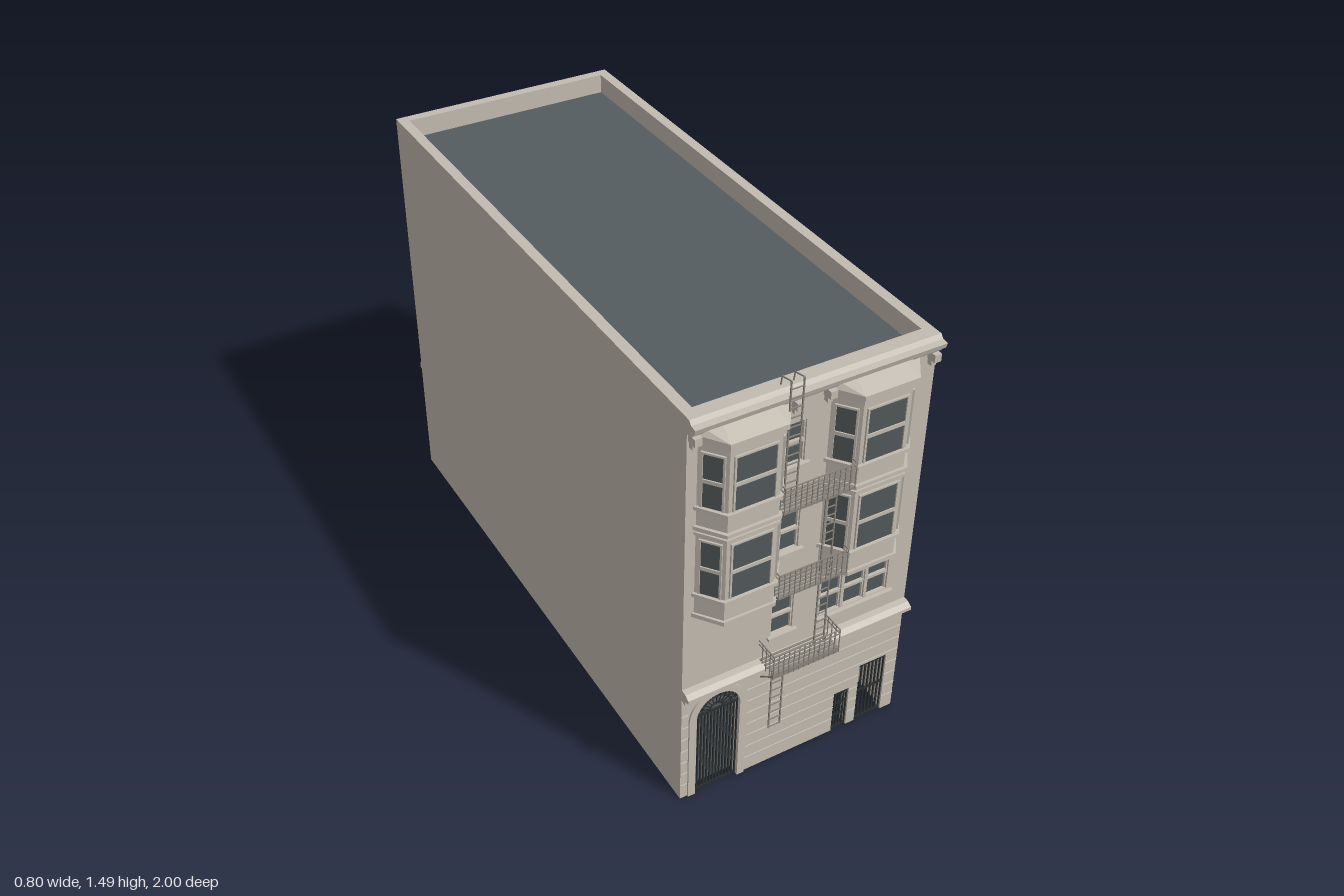
import * as THREE from 'three';

const X0 = -0.4, X1 = 0.39, ZF = 0.915, ZB = -0.99, H = 1.45, T = 0.034;
const mat = (name, color, extra = {}) => Object.assign(new THREE.MeshStandardMaterial({ color, ...extra }), { name });

export function createModel() {
  const stone = mat('stone', 0xc2bbb0), roofing = mat('roofing', 0x555c5f), glass = mat('glass', 0x515759);
  const iron = mat('iron', 0x2b2e2f), mortar = mat('mortar', 0xd6d1c8), steel = mat('painted steel', 0x8a857c);
  const model = new THREE.Group();
  model.name = 'building';

  const group = (name, parent = model) => {
    const g = new THREE.Group();
    g.name = name;
    parent.add(g);
    return g;
  };
  const add = (parent, name, geo, m) => {
    const mesh = new THREE.Mesh(geo, m);
    mesh.name = name;
    parent.add(mesh);
    return mesh;
  };
  // box given by its min and max on each axis
  const box = (parent, name, m, x0, x1, y0, y1, z0, z1) => {
    const b = add(parent, name, new THREE.BoxGeometry(x1 - x0, y1 - y0, z1 - z0), m);
    b.position.set((x0 + x1) / 2, (y0 + y1) / 2, (z0 + z1) / 2);
    return b;
  };
  // square bar between two points
  const bar = (parent, name, m, a, b, t = 0.003) => {
    const p = new THREE.Vector3(...a), q = new THREE.Vector3(...b);
    const mesh = add(parent, name, new THREE.BoxGeometry(t, t, p.distanceTo(q)), m);
    mesh.position.copy(p).lerp(q, 0.5);
    mesh.lookAt(q);
    return mesh;
  };
  // wall with door notches [x0, x1, top, arched] and window holes [x0, x1, y0, y1]
  const wallGeo = (a, b, doors, holes) => {
    const s = new THREE.Shape();
    s.moveTo(a, 0);
    for (const [d0, d1, top, arched] of doors) {
      s.lineTo(d0, 0);
      s.lineTo(d0, top);
      if (arched) s.absarc((d0 + d1) / 2, top, (d1 - d0) / 2, Math.PI, 0, true);
      s.lineTo(d1, top);
      s.lineTo(d1, 0);
    }
    s.lineTo(b, 0);
    s.lineTo(b, H);
    s.lineTo(a, H);
    for (const [x0, x1, y0, y1] of holes) {
      s.holes.push(new THREE.Path([[x0, y0], [x0, y1], [x1, y1], [x1, y0]].map(p => new THREE.Vector2(...p))));
    }
    return new THREE.ExtrudeGeometry(s, { depth: T, bevelEnabled: false, curveSegments: 20 });
  };

  // window openings
  const frontWins = [[-0.102, -0.028, 0.545, 0.682], [-0.102, -0.028, 0.86, 1.0], [-0.102, -0.028, 1.17, 1.31]];
  for (const x of [0.068, 0.153, 0.238]) frontWins.push([x, x + 0.074, 0.545, 0.682]);
  const backWins = [[0.14, 0.25, 0.21, 0.3], [-0.26, -0.15, 0.21, 0.3]];
  for (const y of [0.54, 0.855, 1.165]) for (const x of [-0.2, 0, 0.2]) backWins.push([x - 0.038, x + 0.038, y, y + 0.155]);

  // walls
  const walls = group('walls');
  const frontDoors = [[-0.35, -0.2, 0.325, true], [0.155, 0.212, 0.165], [0.245, 0.347, 0.245]];
  add(walls, 'frontWall', wallGeo(X0, X1, frontDoors, frontWins), stone).position.z = ZF - T;
  add(walls, 'backWall', wallGeo(X0, X1, [[-0.055, 0.045, 0.225]], backWins), stone).position.z = ZB;
  const side = wallGeo(ZB + T, ZF - T, [[-0.93, -0.83, 0.225]], []).rotateY(-Math.PI / 2);
  add(walls, 'leftWall', side, stone).position.x = X1;
  box(walls, 'rightWall', stone, X0, X0 + T, 0, H, ZB + T, ZF - T);
  box(model, 'roof', roofing, X0 + T, X1 - T, 1.37, 1.385, ZB + T, ZF - T);

  // sash windows; s points outward along z
  const windows = group('windows');
  const sash = ([x0, x1, y0, y1], z, s) => {
    const zs = (a, b) => [z + s * a, z + s * b].sort((p, q) => p - q);
    const my = (y0 + y1) / 2;
    box(windows, 'pane', glass, x0, x1, y0, y1, ...zs(-0.02, -0.014));
    box(windows, 'meetingRail', stone, x0, x1, my - 0.005, my + 0.005, ...zs(-0.015, -0.004));
    for (const x of [x0, x1 - 0.004]) box(windows, 'stile', stone, x, x + 0.004, y0, y1, ...zs(-0.015, -0.006));
  };
  for (const w of frontWins) sash(w, ZF, 1);
  for (const w of backWins) {
    sash(w, ZB, -1);
    box(windows, 'backSill', stone, w[0] - 0.01, w[1] + 0.01, w[2] - 0.013, w[2], ZB - 0.008, ZB);
  }
  for (const y of [0.545, 0.86, 1.17]) box(windows, 'frontSill', stone, -0.115, -0.015, y - 0.01, y, ZF, ZF + 0.012);
  box(windows, 'tripleSill', stone, 0.055, 0.33, 0.532, 0.542, ZF, ZF + 0.014);

  // open rear doors, swung inward
  box(model, 'sideDoorLeaf', glass, 0.26, X1 - T, 0, 0.222, -0.837, -0.83);
  box(model, 'backDoorLeaf', glass, 0.038, 0.045, 0, 0.222, ZB + T, -0.86);

  // rear belt course, returning round the corner
  box(model, 'backBelt', stone, X0, 0.4, 0.43, 0.455, -1, ZB);
  box(model, 'sideBelt', stone, X1, 0.4, 0.43, 0.455, ZB, -0.77);

  // cornices: (z, y) profile run along x
  const run = (parent, name, pts) => {
    const s = new THREE.Shape(pts.map(p => new THREE.Vector2(...p)));
    const g = new THREE.ExtrudeGeometry(s, { depth: X1 - X0, bevelEnabled: false }).rotateY(-Math.PI / 2);
    add(parent, name, g, stone).position.x = X1;
  };
  const trim = group('cornices');
  run(trim, 'topCornice', [[ZF, 1.4], [0.933, 1.4], [0.938, 1.41], [0.95, 1.418], [0.955, 1.435], [0.935, 1.438], [0.925, H], [ZF, H]]);
  run(trim, 'storeyCornice', [[ZF, 0.43], [0.93, 0.43], [0.935, 0.442], [0.952, 0.448], [0.952, 0.46], [0.935, 0.47], [ZF, 0.472]]);
  for (let x = X0 + 0.004; x < X1 - 0.01; x += 0.0245) box(trim, 'dentil', stone, x, x + 0.012, 0.418, 0.43, ZF, 0.927);
  for (const x of [-0.385, -0.075, 0.03, 0.37]) {
    box(trim, 'bracket', stone, x - 0.011, x + 0.011, 1.375, 1.4, ZF, 0.948);
    box(trim, 'bracketFoot', stone, x - 0.008, x + 0.008, 1.355, 1.375, ZF, 0.932);
  }

  // pale masonry joints on the ground storey
  const joints = group('masonryJoints');
  for (let i = 1; i <= 7; i++) {
    const y = 0.05 * i + 0.005;
    const edges = [X0, -0.376, -0.174];
    for (const [a, b, top] of frontDoors.slice(1)) if (y < top + 0.005) edges.push(a, b);
    edges.push(X1);
    for (let k = 0; k < edges.length; k += 2) box(joints, 'joint', mortar, edges[k], edges[k + 1], y, y + 0.003, ZF, ZF + 0.001);
  }

  // arched entrance: surround, door, gate and fanlight
  const entry = group('entrance');
  const cx = -0.275, cy = 0.325;
  const ring = new THREE.Shape().moveTo(cx - 0.1, 0).lineTo(cx - 0.1, cy);
  ring.absarc(cx, cy, 0.1, Math.PI, 0, true);
  ring.lineTo(cx + 0.1, 0).lineTo(cx + 0.075, 0).lineTo(cx + 0.075, cy);
  ring.absarc(cx, cy, 0.075, 0, Math.PI, false);
  ring.lineTo(cx - 0.075, 0);
  add(entry, 'surround', new THREE.ExtrudeGeometry(ring, { depth: 0.006, bevelEnabled: false, curveSegments: 20 }), stone).position.z = ZF;
  box(entry, 'doorPanel', glass, -0.35, -0.2, 0, cy, ZF - T - 0.01, ZF - T);
  const gate = (parent, x0, x1, top, n, rails) => {
    const z = ZF - 0.008;
    for (let i = 0; i <= n; i++) {
      const x = x0 + 0.002 + (x1 - x0 - 0.004) * i / n;
      bar(parent, 'gateBar', iron, [x, 0, z], [x, top, z], 0.0045);
    }
    for (const y of rails) bar(parent, 'gateRail', iron, [x0, y, z], [x1, y, z], 0.006);
  };
  gate(entry, -0.35, -0.2, cy, 13, [0.006, cy]);
  const arc = (r, x, y, sweep) => {
    const t = add(entry, 'fanRing', new THREE.TorusGeometry(r, 0.002, 5, 20, sweep), iron);
    t.position.set(x, y, ZF - 0.008);
  };
  for (const r of [0.025, 0.05, 0.073]) arc(r, cx, cy, Math.PI);
  for (let i = 1; i < 10; i++) {
    const a = Math.PI * i / 10, c = Math.cos(a), s = Math.sin(a);
    bar(entry, 'fanSpoke', iron, [cx + 0.02 * c, cy + 0.02 * s, ZF - 0.008], [cx + 0.073 * c, cy + 0.073 * s, ZF - 0.008]);
    arc(0.009, cx + 0.061 * c, cy + 0.061 * s, Math.PI * 2);
  }
  // service gates
  const service = group('serviceGates');
  gate(service, 0.155, 0.212, 0.163, 5, [0.005, 0.06, 0.11, 0.155]);
  gate(service, 0.245, 0.347, 0.243, 7, [0.005, 0.125, 0.235]);

  // bay windows: stacked trapezoid layers
  const HB = 0.135, HF = 0.08, ZBAY = 0.985;
  const layer = (off, y0, y1) => {
    const s = new THREE.Shape([[-HB - off, -ZF], [-HF - off * 0.6, -ZBAY - off], [HF + off * 0.6, -ZBAY - off], [HB + off, -ZF]].map(p => new THREE.Vector2(...p)));
    return new THREE.ExtrudeGeometry(s, { depth: y1 - y0, bevelEnabled: false }).rotateX(-Math.PI / 2).translate(0, y0, 0);
  };
  const bayWindow = (parent, w, y0, y1) => {
    const my = (y0 + y1) / 2;
    box(parent, 'bayGlass', glass, -w / 2, w / 2, y0, y1, 0, 0.002);
    box(parent, 'bayMeetingRail', stone, -w / 2, w / 2, my - 0.006, my + 0.006, 0, 0.006);
    for (const s of [-1, 1]) {
      const x = s * (w / 2 + 0.003);
      box(parent, 'bayStile', stone, x - 0.003, x + 0.003, y0, y1, 0, 0.006);
    }
    box(parent, 'bayHead', stone, -w / 2 - 0.006, w / 2 + 0.006, y1, y1 + 0.006, 0, 0.006);
  };
  for (const [name, c] of [['rightBay', -0.232], ['leftBay', 0.182]]) {
    const bay = group(name);
    bay.position.x = c;
    const layers = [[0, 0.765, 1.375], [0.008, 0.752, 0.766], [-0.014, 0.738, 0.752], [-0.035, 0.725, 0.738], [-0.052, 0.708, 0.725],
      [0.01, 0.83, 0.842], [0.006, 1.052, 1.062], [0.01, 1.072, 1.084], [0.01, 1.14, 1.152], [0.008, 1.36, 1.375], [0.015, 1.375, 1.392]];
    for (const [off, y0, y1] of layers) add(bay, off ? 'bayMoulding' : 'bayBody', layer(off, y0, y1), stone);
    // hipped cap leaning back to the wall
    const cap = layer(0.015, 1.392, 1.413), p = cap.attributes.position;
    for (let i = 0; i < p.count; i++) {
      if (p.getY(i) > 1.4) p.setXYZ(i, p.getX(i) * 0.88, p.getY(i), ZF + (p.getZ(i) - ZF) * 0.35);
    }
    cap.computeVertexNormals();
    add(bay, 'bayCap', cap, stone);
    for (const s of [-1, 0, 1]) {
      const face = group('bayFace', bay);
      face.position.set(s * (HB + HF) / 2, 0, s ? (ZF + ZBAY) / 2 : ZBAY);
      face.rotation.y = s * Math.atan2(ZBAY - ZF, HB - HF);
      for (const [y0, y1] of [[0.845, 1.035], [1.155, 1.332]]) bayWindow(face, s ? 0.056 : 0.124, y0, y1);
    }
  }

  // fire escape
  const escape = group('fireEscape');
  const ZO = 0.995, xa = -0.14, xb = 0.09;
  for (const [y, depth] of [[0.455, 0.02], [0.77, 0.007], [1.08, 0.007]]) {
    const balcony = group('balcony', escape), top = y + 0.09;
    for (let z = ZF + 0.006; z < ZO; z += 0.0125) box(balcony, 'slat', steel, xa, xb, y + depth - 0.004, y + depth, z, z + 0.006);
    box(balcony, 'edgeBeam', steel, xa, xb, y, y + depth, ZO - 0.004, ZO);
    for (const h of [top, top - 0.015]) {
      bar(balcony, 'rail', steel, [xa, h, ZO], [xb, h, ZO]);
      for (const x of [xa, xb]) bar(balcony, 'sideRail', steel, [x, h, ZF], [x, h, ZO]);
    }
    for (let i = 0; i <= 13; i++) {
      const x = xa + (xb - xa) * i / 13;
      bar(balcony, 'baluster', steel, [x, y, ZO], [x, top, ZO], 0.0025);
    }
    for (const x of [xa, xb]) for (const z of [0.935, 0.955, 0.975]) bar(balcony, 'sideBaluster', steel, [x, y, z], [x, top, z], 0.0025);
    for (const x of [-0.128, 0.076]) bar(balcony, 'brace', steel, [x, y, ZO - 0.005], [x, y - 0.065, ZF], 0.004);
  }
  const ladder = (name, x0, x1, y0, y1, z) => {
    const l = group(name, escape);
    for (const x of [x0, x1]) bar(l, 'stringer', steel, [x, y0, z], [x, y1, z], 0.004);
    for (let y = y0 + 0.004; y < y1; y += 0.031) bar(l, 'rung', steel, [x0, y, z], [x1, y, z]);
    return l;
  };
  ladder('dropLadder', -0.117, -0.077, 0.2, 0.455, 0.955);
  ladder('middleLadder', 0.027, 0.062, 0.475, 1.08, 0.955);
  const roofLadder = ladder('roofLadder', -0.117, -0.077, 1.087, 1.49, 0.957);
  for (const x of [-0.117, -0.077]) {
    bar(roofLadder, 'gooseneck', steel, [x, 1.49, 0.957], [x, 1.48, 0.915]);
    bar(roofLadder, 'gooseneckFoot', steel, [x, 1.48, 0.915], [x, H, 0.91]);
  }
  return model;
}
